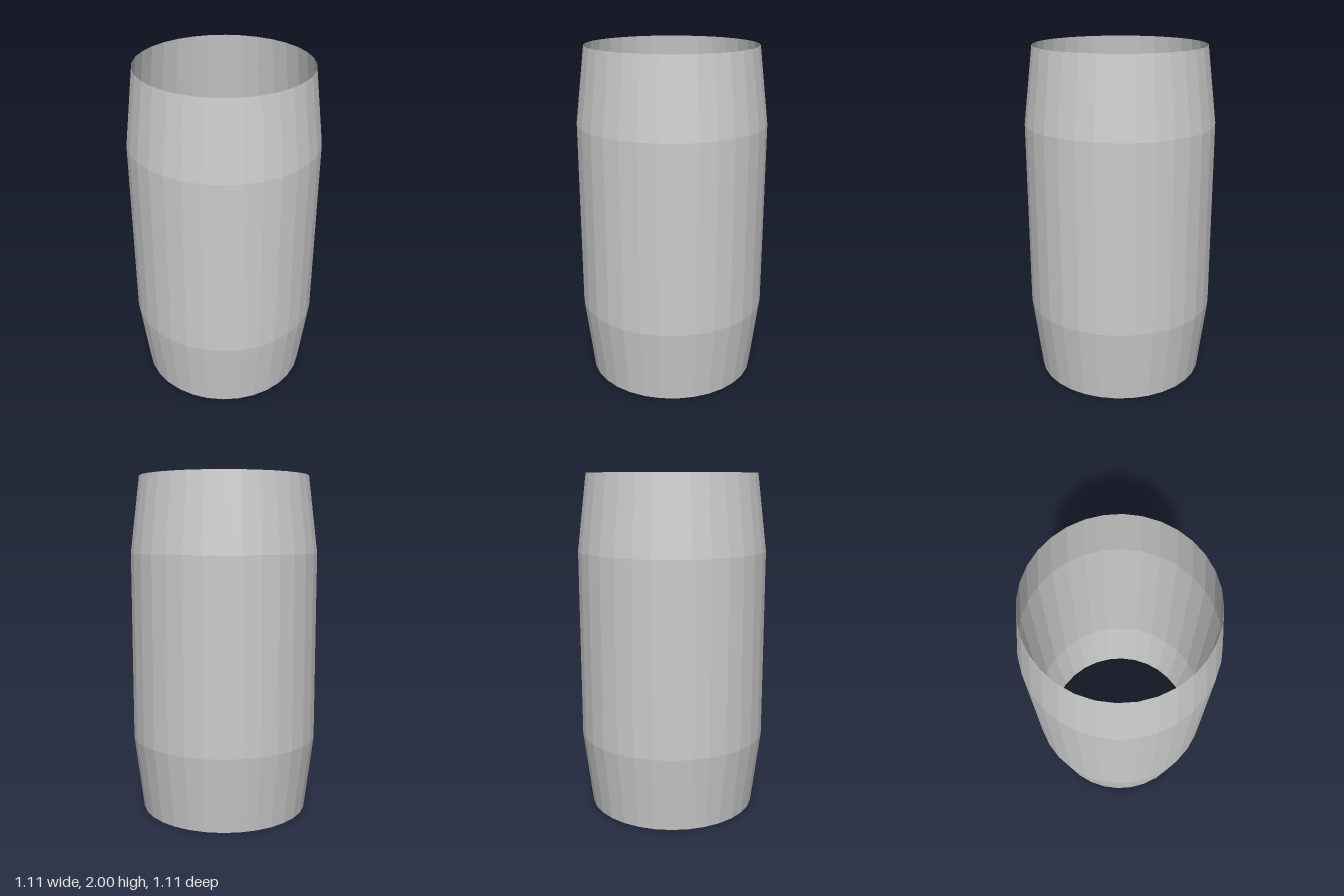
import * as THREE from 'three';

export function createModel() {
  const model = new THREE.Group();
  model.name = 'openBarrel';

  // Thin barrel wall, open at both ends: straight middle, tapered ends
  const profile = [[0.5, 0], [0.555, 0.445], [0.555, 1.555], [0.5, 2]]
    .map(([r, y]) => new THREE.Vector2(r, y));
  const material = new THREE.MeshStandardMaterial({
    color: 0xcccccc, flatShading: true, side: THREE.DoubleSide,
  });
  const wall = new THREE.Mesh(new THREE.LatheGeometry(profile, 32), material);
  wall.name = 'barrelWall';
  model.add(wall);

  return model;
}
